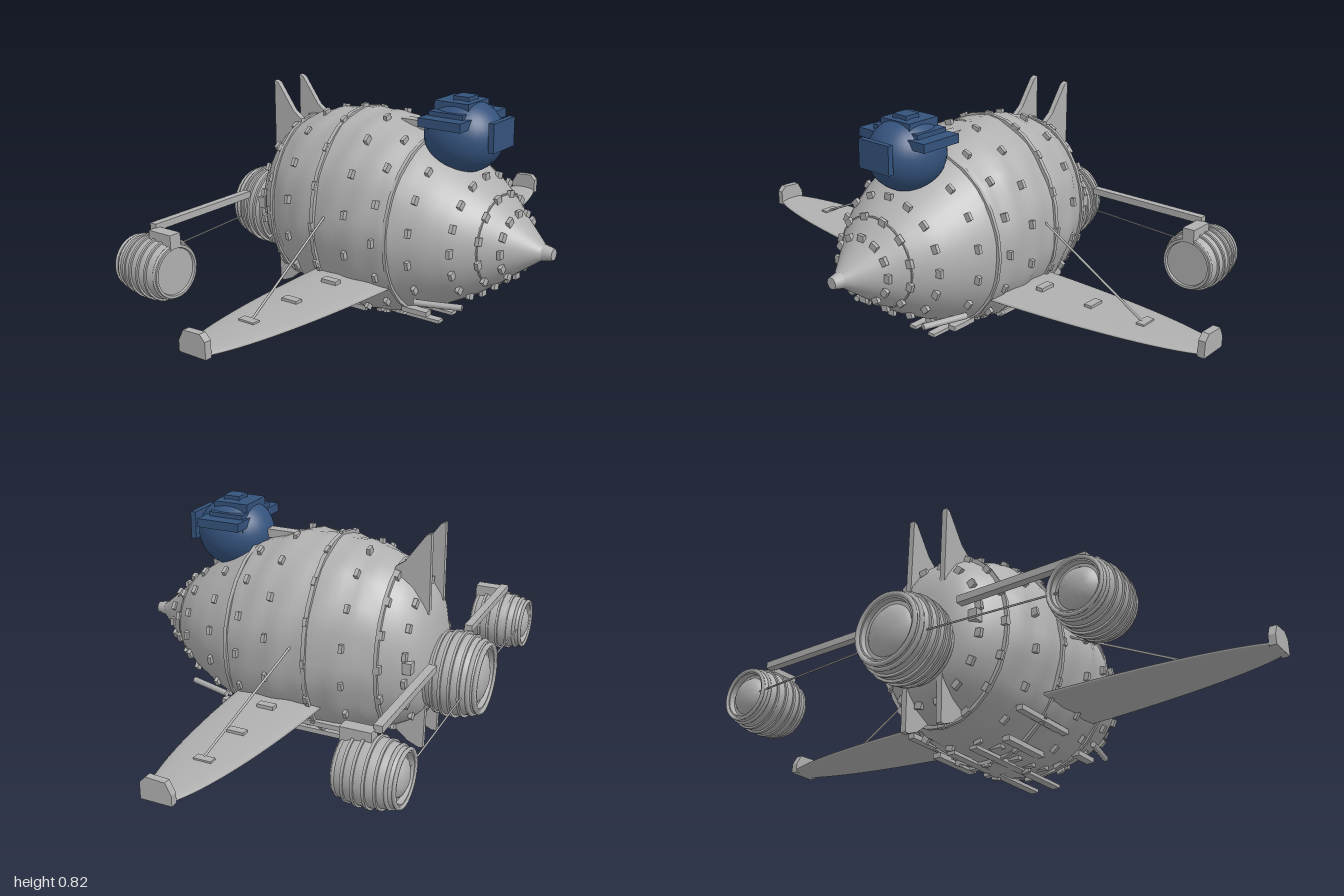
import * as THREE from 'three';
import { toCreasedNormals } from 'three/addons/utils/BufferGeometryUtils.js';

const V = (x, y, z) => new THREE.Vector3(x, y, z);

// hull stations: z, centre height, half width, half height
const HULL = [
  [0.625, 0.338, 0.015, 0.015], [0.6, 0.338, 0.036, 0.03], [0.5, 0.345, 0.12, 0.11], [0.45, 0.35, 0.165, 0.155],
  [0.38, 0.352, 0.222, 0.205], [0.3, 0.355, 0.262, 0.252], [0.18, 0.36, 0.3, 0.312], [0.08, 0.367, 0.31, 0.344],
  [0, 0.37, 0.312, 0.358], [-0.11, 0.372, 0.303, 0.354], [-0.2, 0.373, 0.292, 0.341], [-0.28, 0.372, 0.268, 0.322],
  [-0.34, 0.37, 0.242, 0.297], [-0.4, 0.365, 0.208, 0.262], [-0.45, 0.355, 0.165, 0.205], [-0.48, 0.34, 0.1, 0.13],
];

function hullAt(z) {
  let i = 0;
  while (i < HULL.length - 2 && z < HULL[i + 1][0]) i++;
  const a = HULL[i], b = HULL[i + 1];
  const t = THREE.MathUtils.clamp((z - a[0]) / (b[0] - a[0]), 0, 1);
  return [1, 2, 3].map(k => a[k] + (b[k] - a[k]) * t);
}

function hullPoint(angle, z, lift = 0) {
  const [cy, rx, ry] = hullAt(z);
  return V(Math.cos(angle) * (rx + lift), cy + Math.sin(angle) * (ry + lift), z);
}

// closed skin through rings of equal point count
function loft(rings) {
  const n = rings[0].length, idx = [];
  for (let i = 0; i < rings.length - 1; i++) {
    for (let j = 0; j < n; j++) {
      const k = (j + 1) % n, a = i * n + j, b = i * n + k;
      idx.push(a, a + n, b, b, a + n, b + n);
    }
  }
  const g = new THREE.BufferGeometry().setFromPoints(rings.flat());
  g.setIndex(idx);
  g.computeVertexNormals();
  return g;
}

const ring = (n, f) => Array.from({ length: n }, (_, j) => f(j / n * Math.PI * 2));

export function createModel() {
  const group = new THREE.Group();
  const metal = new THREE.MeshStandardMaterial({ color: 0xb0b0b0 });
  metal.name = 'grey metal';
  const blue = new THREE.MeshStandardMaterial({ color: 0x34527c });
  blue.name = 'cockpit blue';

  const add = (name, geo, mat = metal, parent = group) => {
    const m = new THREE.Mesh(geo, mat);
    m.name = name;
    parent.add(m);
    return m;
  };
  const box = (name, w, h, d, x, y, z, mat) => {
    const m = add(name, new THREE.BoxGeometry(w, h, d), mat);
    m.position.set(x, y, z);
    return m;
  };
  const rod = (name, a, b, r) => {
    const m = add(name, new THREE.CylinderGeometry(r, r, a.distanceTo(b), 8));
    m.position.copy(a).lerp(b, 0.5);
    m.quaternion.setFromUnitVectors(V(0, 1, 0), b.clone().sub(a).normalize());
    return m;
  };

  // hull skin with shallow dents behind the nose
  const stations = [];
  for (let z = 0.625; z > -0.481; z -= 0.025) stations.push(z);
  const hullRings = stations.map(z => ring(40, a => {
    const dent = z < 0.18 && z > -0.32 ? 0.007 * Math.sin(a * 7 + z * 31) * Math.sin(a * 4 - z * 23) : 0;
    return hullPoint(a, z, dent);
  }));
  hullRings.unshift(ring(40, () => V(0, 0.338, 0.63)));
  hullRings.push(ring(40, () => V(0, 0.33, -0.485)));
  add('hull', loft(hullRings));

  // nose tip
  const tip = add('noseTip', new THREE.CylinderGeometry(0.02, 0.028, 0.035, 12));
  tip.rotation.x = Math.PI / 2;
  tip.position.set(0, 0.338, 0.626);

  // raised frame bands round the hull
  for (const [z, lift, half] of [[0.45, 0.002, 0.003], [0.185, 0.008, 0.006], [-0.11, 0.01, 0.007], [-0.34, 0.01, 0.006]]) {
    const profile = [[half, -0.02], [half, lift], [-half, lift], [-half, -0.02]];
    const g = loft(profile.map(([dz, l]) => ring(24, a => hullPoint(a, z, l).setZ(z + dz))));
    add('hullBand', toCreasedNormals(g, 0.6));
  }

  // rivet blocks in rows
  const rivets = new THREE.Group();
  rivets.name = 'rivets';
  group.add(rivets);
  const rivetGeo = new THREE.BoxGeometry(0.024, 0.028, 0.013);
  [0.51, 0.455, 0.385, 0.26, 0.14, 0.03, -0.11, -0.235, -0.35, -0.42].forEach((z, row) => {
    const n = row < 2 ? 12 : 16;
    for (let i = 0; i < n; i++) {
      const a = (i + (row % 2) * 0.5) / n * Math.PI * 2;
      const [, rx, ry] = hullAt(z);
      const m = add('rivet', rivetGeo, metal, rivets);
      m.position.copy(hullPoint(a, z, 0.004));
      m.rotation.z = Math.atan2(Math.sin(a) / ry, Math.cos(a) / rx);
    }
  });

  // cockpit ball with hood, side housings, front window and hatch
  const ball = add('cockpitBall', new THREE.SphereGeometry(1, 32, 24), blue);
  ball.scale.set(0.125, 0.125, 0.138);
  ball.position.set(0, 0.686, 0.298);
  box('cockpitBrim', 0.296, 0.03, 0.16, 0, 0.745, 0.29, blue);
  box('cockpitHousing', 0.2, 0.115, 0.13, 0, 0.718, 0.285, blue);
  box('cockpitRoof', 0.13, 0.05, 0.13, 0, 0.78, 0.285, blue);
  box('roofHatch', 0.06, 0.03, 0.06, 0, 0.805, 0.3, blue);
  box('frontWindow', 0.135, 0.098, 0.02, 0, 0.706, 0.437, blue);
  box('cockpitMount', 0.04, 0.03, 0.12, 0, 0.7, 0.12);

  // wing: one flat elliptical blade running through the hull
  const wingRings = [];
  for (let i = 0; i <= 40; i++) {
    const u = -Math.cos(i / 40 * Math.PI), e = Math.abs(u);
    const c = 0.165 * Math.sqrt(Math.max(0, 1 - (e * 0.97) ** 2));
    const t = 0.018 - 0.008 * e;
    wingRings.push(ring(20, a => V(u * 0.995, 0.185 + 0.024 * e + t * Math.sin(a), 0.012 + c * Math.cos(a))));
  }
  const end = s => ring(20, () => V(s * 0.995, 0.209, 0.012));
  add('wing', loft([end(-1), ...wingRings, end(1)]));

  // plate outlined in z and y, extruded along x
  const sidePlate = (name, pts, thick, x) => {
    const g = new THREE.ExtrudeGeometry(new THREE.Shape(pts.map(([z, y]) => new THREE.Vector2(-z, y))),
      { depth: thick, bevelEnabled: false });
    g.translate(0, 0, -thick / 2);
    g.rotateY(Math.PI / 2);
    add(name, g).position.x = x;
  };

  // ribbed barrel engine, flat at the front and domed at the back
  const engine = (name, r, len, x, y, z) => {
    const e = new THREE.Group();
    e.name = name;
    e.position.set(x, y, z);
    group.add(e);
    const shape = [[0, 0.04], [0.74, 0.04], [0.76, 0], [0.84, 0], [0.94, 0.2], [0.98, 0.4], [0.96, 0.6], [0.88, 0.82],
      [0.8, 0.95], [0.7, 0.95], [0.68, 0.86], [0.6, 0.86], [0.5, 0.93], [0.3, 0.98], [0, 1]];
    const g = new THREE.LatheGeometry(shape.map(([a, b]) => new THREE.Vector2(a * r, b * len)), 32);
    add('engineBarrel', toCreasedNormals(g.rotateX(-Math.PI / 2), 0.6), metal, e);
    for (const [t, k] of [[0.05, 0.9], [0.2, 0.99], [0.36, 1.03], [0.53, 1.03], [0.69, 0.98], [0.84, 0.92], [0.95, 0.86]]) {
      const b = add('engineBand', new THREE.CylinderGeometry(r * k, r * k, 0.009, 28), metal, e);
      // bands near the open ends are hoops, so the recesses stay clear
      if (t < 0.1 || t > 0.8) {
        b.geometry = new THREE.TorusGeometry(r * (k - 0.06), r * 0.06, 6, 28);
      } else b.rotation.x = Math.PI / 2;
      b.position.z = -t * len;
    }
  };
  engine('mainEngine', 0.145, 0.19, 0, 0.295, -0.455);

  for (const s of [-1, 1]) {
    // wing tip fin, wing blocks and brace
    sidePlate('wingTipFin', [[0.065, 0.2], [-0.04, 0.2], [-0.04, 0.235], [-0.02, 0.272], [0.045, 0.275], [0.065, 0.255]], 0.024, s * 0.985);
    for (const x of [0.35, 0.55, 0.75]) box('wingBlock', 0.028, 0.022, 0.06, s * x, 0.21, 0.003);
    rod('wingBrace', V(s * 0.75, 0.215, 0.01), V(s * 0.29, 0.42, -0.06), 0.004);

    // outrigger engine, beam, pylon and cable
    engine('sideEngine', 0.108, 0.205, s * 0.65, 0.25, -0.407);
    box('engineBeam', 0.46, 0.024, 0.028, s * 0.415, 0.385, -0.513);
    box('enginePylon', 0.045, 0.05, 0.1, s * 0.65, 0.358, -0.455);
    rod('engineCable', V(s * 0.12, 0.27, -0.595), V(s * 0.6, 0.25, -0.59), 0.003);
    box('beamRoot', 0.1, 0.04, 0.03, s * 0.15, 0.37, -0.43);

    // upper and lower tail fins
    sidePlate('upperFin', [[-0.33, 0.63], [-0.335, 0.67], [-0.37, 0.695], [-0.438, 0.79], [-0.455, 0.797], [-0.458, 0.52]], 0.02, s * 0.07);
    sidePlate('lowerFin', [[-0.33, 0.12], [-0.345, 0.09], [-0.4, 0.045], [-0.44, 0.028], [-0.455, 0.03], [-0.458, 0.2]], 0.02, s * 0.07);

    // belly runners and planks
    box('bellyRunner', 0.03, 0.012, 0.49, s * 0.045, 0.02, 0);
    box('bellyPlank', 0.025, 0.018, 0.27, s * 0.22, 0.118, -0.105);
    box('bellyPlank', 0.03, 0.018, 0.1, s * 0.17, 0.1, 0.225);
    rod('bellyTube', V(s * 0.16, 0.148, 0.4), V(s * 0.205, 0.145, 0.24), 0.011);
    box('bellyPlank', 0.03, 0.018, 0.2, s * 0.14, 0.045, -0.1);
  }

  // cross slats under the belly
  for (const z of [0.1, 0.02, -0.06, -0.16]) box('bellySlat', 0.2, 0.012, 0.022, 0, hullAt(z)[0] - hullAt(z)[2] + 0.012, z);

  return group;
}
